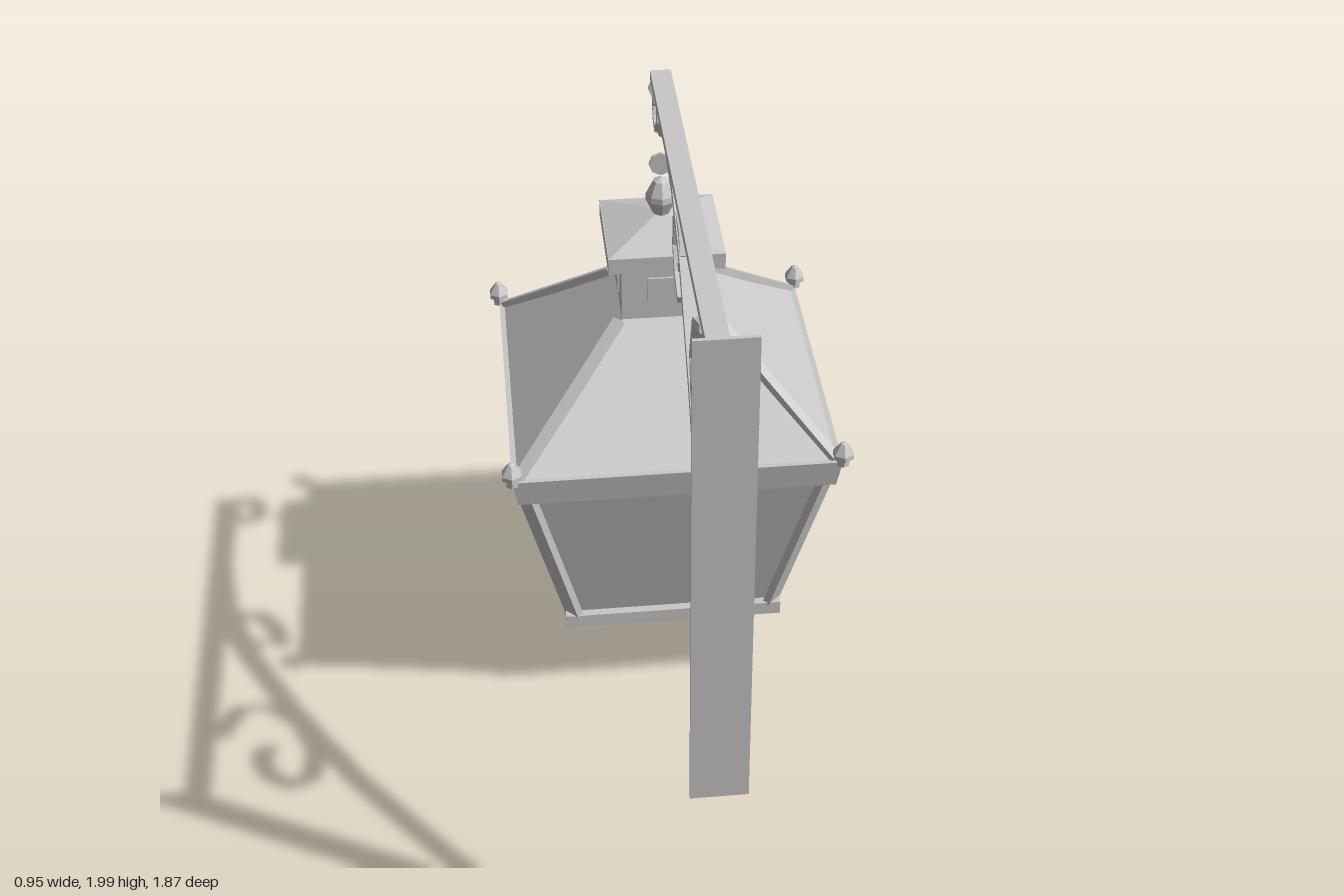
import * as THREE from 'three';

const LAMP_Z = -0.455;
const grey = new THREE.MeshStandardMaterial({ color: 0xc8c8c8 });
grey.name = 'light grey metal';

// Mesh with one normal per face
function part(name, geometry, parent) {
  const g = geometry.index ? geometry.toNonIndexed() : geometry;
  g.computeVertexNormals();
  const mesh = new THREE.Mesh(g, grey);
  mesh.name = name;
  parent.add(mesh);
  return mesh;
}

function box(name, parent, w, h, d, x, y, z) {
  return part(name, new THREE.BoxGeometry(w, h, d).translate(x, y, z), parent);
}

// Square frustum given by half widths at two heights
function frustum(name, parent, y0, half0, y1, half1) {
  const g = new THREE.CylinderGeometry(half1 * Math.SQRT2, half0 * Math.SQRT2, y1 - y0, 4);
  return part(name, g.rotateY(Math.PI / 4).translate(0, (y0 + y1) / 2, 0), parent);
}

// Turned low-poly knob from [radius, y] pairs
function knob(name, parent, profile, x, y, z, sides = 8) {
  const g = new THREE.LatheGeometry(profile.map(p => new THREE.Vector2(...p)), sides);
  return part(name, g.translate(x, y, z), parent);
}

// Four bars along the corner edges of a frustum
function cornerBars(name, parent, y0, half0, y1, half1, thick, wide) {
  const r0 = half0 * Math.SQRT2, r1 = half1 * Math.SQRT2;
  const length = Math.hypot(r1 - r0, y1 - y0);
  for (let k = 0; k < 4; k++) {
    const g = new THREE.BoxGeometry(thick, length, wide);
    g.rotateZ(-Math.atan2(r1 - r0, y1 - y0)).translate((r0 + r1) / 2, (y0 + y1) / 2, 0);
    part(name, g.rotateY(Math.PI / 4 + k * Math.PI / 2), parent);
  }
}

// Flat bar bent along [z, y] points, extruded across x
function bentBar(name, parent, points, thick, width) {
  const p = points.map(q => new THREE.Vector2(...q));
  const left = [], right = [];
  p.forEach((c, i) => {
    const a = c.clone().sub(p[Math.max(i - 1, 0)]).normalize();
    const b = p[Math.min(i + 1, p.length - 1)].clone().sub(c).normalize();
    const t = a.add(b);
    const scale = thick / 2 / Math.max(t.length() === 0 ? 1 : Math.min(t.length(), 2) / (i && i < p.length - 1 ? 2 : 1), 0.6);
    t.normalize();
    const n = new THREE.Vector2(-t.y, t.x).multiplyScalar(scale);
    left.push(c.clone().add(n));
    right.unshift(c.clone().sub(n));
  });
  const g = new THREE.ExtrudeGeometry(new THREE.Shape([...left, ...right]), { depth: width, bevelEnabled: false });
  return part(name, g.translate(0, 0, -width / 2).rotateY(-Math.PI / 2), parent);
}

function createBracket() {
  const bracket = new THREE.Group();
  bracket.name = 'wallBracket';
  box('wallPlate', bracket, 0.144, 1.34, 0.01, 0, 1.33, 0.93);
  // Bolts on the plate
  for (const y of [1.945, 0.72]) {
    const g = new THREE.CylinderGeometry(0.019, 0.019, 0.02, 6).rotateX(Math.PI / 2);
    part('bolt', g.translate(0, y, 0.916), bracket);
  }
  box('arm', bracket, 0.054, 0.026, 1.385, 0, 1.892, 0.235);
  bentBar('brace', bracket, [[0.922, 0.715], [0.825, 0.95], [0.638, 1.292], [0.442, 1.55],
    [0.246, 1.75], [0.071, 1.85], [-0.114, 1.886]], 0.028, 0.05);
  bentBar('largeScroll', bracket, [[0.643, 1.833], [0.505, 1.76], [0.45, 1.63], [0.485, 1.51],
    [0.585, 1.442], [0.69, 1.46], [0.745, 1.535], [0.735, 1.615], [0.7, 1.652], [0.65, 1.654], [0.627, 1.625]], 0.021, 0.045);
  bentBar('smallScroll', bracket, [[0.177, 1.606], [0.1, 1.638], [0.066, 1.7], [0.08, 1.775],
    [0.14, 1.822], [0.2, 1.815], [0.23, 1.77], [0.215, 1.723], [0.187, 1.708]], 0.021, 0.045);
  // Hook at the end of the arm
  bentBar('hook', bracket, [[-0.425, 1.885], [-0.385, 1.848], [-0.38, 1.8], [-0.405, 1.763], [-0.45, 1.742],
    [-0.485, 1.755], [-0.498, 1.785], [-0.488, 1.81], [-0.465, 1.815]], 0.02, 0.036);
  part('hookRing', new THREE.TorusGeometry(0.022, 0.008, 4, 8).rotateY(Math.PI / 2)
    .translate(0, 1.74, LAMP_Z), bracket);
  return bracket;
}

function createLantern() {
  const lantern = new THREE.Group();
  lantern.name = 'lantern';
  lantern.position.z = LAMP_Z;

  // Base
  knob('bottomFinial', lantern, [[0, 0.01], [0.015, 0.012], [0.025, 0.025], [0.028, 0.05], [0.038, 0.095], [0.038, 0.11], [0, 0.11]], 0, 0, 0);
  frustum('lowerBase', lantern, 0.1, 0.057, 0.225, 0.22);
  frustum('upperBase', lantern, 0.225, 0.22, 0.28, 0.302);
  box('lowerFrame', lantern, 0.63, 0.042, 0.63, 0, 0.3, 0);

  // Glazed body
  frustum('glass', lantern, 0.32, 0.29, 0.85, 0.41);
  cornerBars('cornerPost', lantern, 0.31, 0.29, 0.86, 0.414, 0.022, 0.054);
  frustum('upperFrame', lantern, 0.845, 0.437, 0.93, 0.45);

  // Roof
  frustum('roof', lantern, 0.93, 0.435, 1.22, 0.12);
  cornerBars('roofRidge', lantern, 0.93, 0.432, 1.222, 0.13, 0.022, 0.028);
  for (const x of [-0.45, 0.45]) for (const z of [-0.45, 0.45]) {
    knob('cornerFinial', lantern, [[0, -0.005], [0.018, -0.005], [0.018, 0.012], [0.03, 0.02], [0.03, 0.034], [0.01, 0.065], [0, 0.07]], x, 0.93, z, 6);
  }

  // Chimney with a thin panel on each side
  box('chimney', lantern, 0.242, 0.19, 0.242, 0, 1.305, 0);
  for (let k = 0; k < 4; k++) {
    const g = new THREE.BoxGeometry(0.1, 0.085, 0.008).translate(0, 1.306, 0.123);
    part('chimneyPanel', g.rotateY(k * Math.PI / 2), lantern);
  }
  box('capRim', lantern, 0.316, 0.046, 0.316, 0, 1.412, 0);
  frustum('cap', lantern, 1.435, 0.156, 1.485, 0.015);
  knob('topFinial', lantern, [[0, 1.465], [0.022, 1.467], [0.025, 1.485], [0.043, 1.525], [0.042, 1.542],
    [0.022, 1.58], [0, 1.592]], 0, 0, 0);

  // Hanging links
  for (const y of [1.63, 1.855]) {
    const g = new THREE.CylinderGeometry(0.033, 0.033, 0.009, 8).rotateX(Math.PI / 2);
    part('link', g.translate(0, y, 0), lantern);
  }
  return lantern;
}

export function createModel() {
  const model = new THREE.Group();
  model.name = 'hangingWallLantern';
  model.add(createBracket(), createLantern());
  return model;
}
